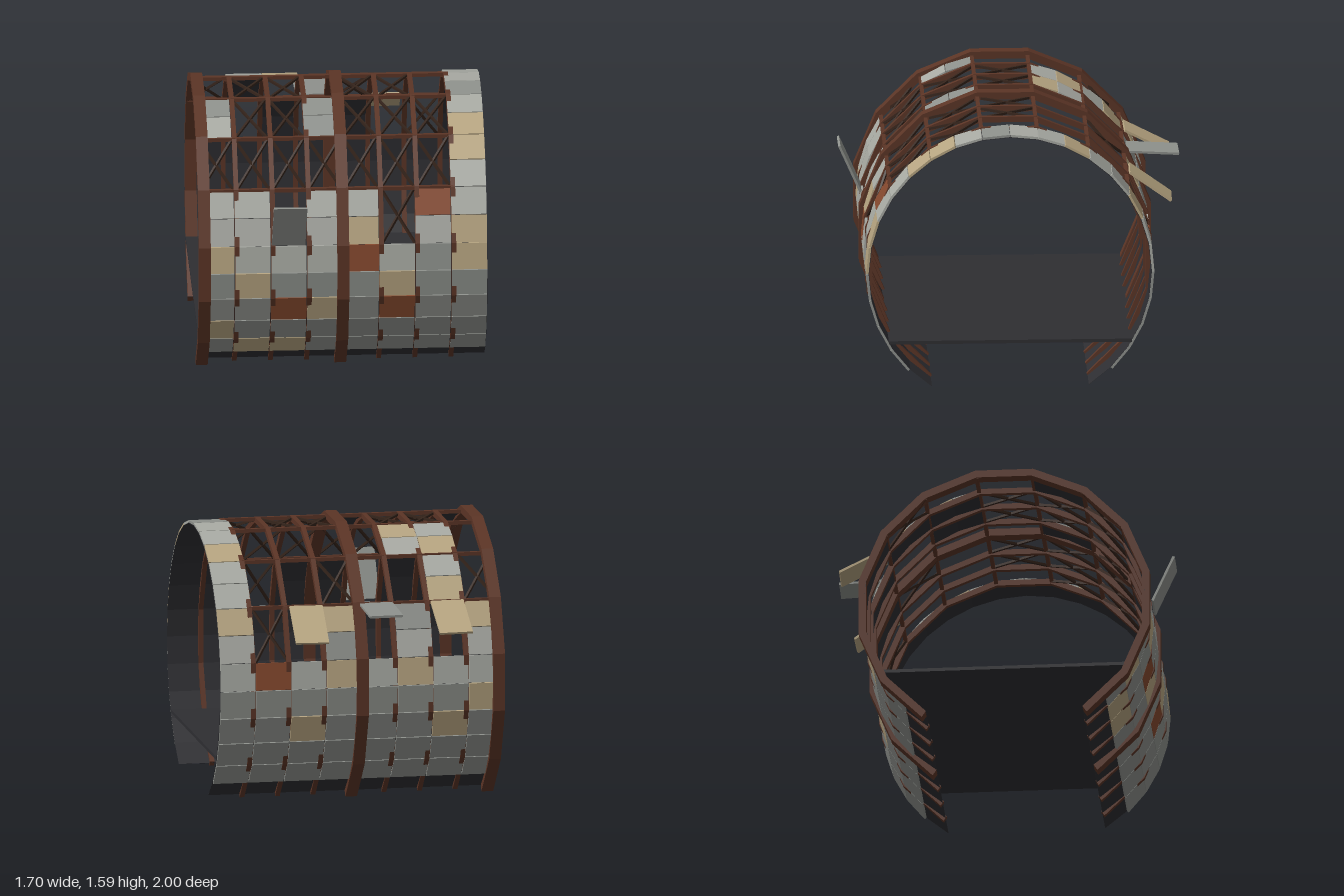
import * as THREE from 'three';

const CY = 0.728, CZ = 0.03;            // axis of the hull section
const STEP = Math.PI / 8, HALF = STEP / 2;
const BAY = 0.2125, X0 = -0.85;

const mat = (color) => new THREE.MeshStandardMaterial({ color });
const rib = mat(0x5c3526), brace = mat(0x35241b), dark = mat(0x2e2e32);
const light = mat(0xa9aba4), grey = mat(0x8f928d), tan = mat(0xb8a682), rust = mat(0x86492e);

// Point on the hull: angle 0 is the top, positive towards the front
const at = (x, r, a) => new THREE.Vector3(x, CY + r * Math.cos(a), CZ + r * Math.sin(a));

function box(name, w, h, d, material) {
  const m = new THREE.Mesh(new THREE.BoxGeometry(w, h, d), material);
  m.name = name;
  return m;
}

// Open 16-sided hoop, 13 sides long, extruded along x
function hoop(name, x, width, rOut, rIn) {
  const pts = [];
  for (let i = 0; i <= 13; i++) pts.push([rOut, (i - 6.5) * STEP]);
  for (let i = 13; i >= 0; i--) pts.push([rIn, (i - 6.5) * STEP]);
  const shape = new THREE.Shape(pts.map(([r, a]) => {
    const p = at(0, r, a);
    return new THREE.Vector2(-p.z, p.y);
  }));
  const geo = new THREE.ExtrudeGeometry(shape, { depth: width, bevelEnabled: false });
  geo.rotateY(Math.PI / 2);
  const m = new THREE.Mesh(geo, rib);
  m.name = name;
  m.position.x = x;
  return m;
}

// Square bar between two points
function bar(name, a, b, size, material) {
  const m = box(name, size, size, a.distanceTo(b), material);
  m.position.copy(a).add(b).multiplyScalar(0.5);
  m.lookAt(b);
  return m;
}

// Flat slab following half a hoop side; j counts half sides from the top
function slab(name, c, j, apothem, thick, gap, material) {
  const a = (j + 0.5) * HALF;
  const m = box(name, BAY - gap, thick, 2 * apothem * Math.tan(HALF / 2) - gap, material);
  m.position.copy(at(X0 + (c + 0.5) * BAY, apothem - thick / 2, a));
  m.rotation.x = a;
  return m;
}

// Torn panel standing off the hull, from (z0, y0) to (z1, y1)
function loosePanel(c, z0, y0, z1, y1, material, twist) {
  const m = box('loosePanel', BAY - 0.015, 0.014, Math.hypot(z1 - z0, y1 - y0), material);
  m.position.set(X0 + (c + 0.5) * BAY, (y0 + y1) / 2, (z0 + z1) / 2);
  m.rotation.x = -Math.atan2(y1 - y0, z1 - z0);
  m.rotateY(twist);
  return m;
}

// Plating layout, written as "column,row"
const roofPlates = new Set(['0,1', '0,2', '3,1', '3,2', '1,-2', '1,-3', '1,-4', '1,-5', '2,-2', '2,-3']);
const holes = new Set(['5,5', '5,6', '2,5', '2,6']);
for (const c of [1, 3, 5, 6]) holes.add(`${c},-6`).add(`${c},-7`);
const rustPlates = new Set(['6,5', '4,7', '2,9', '5,9', '6,-8']);
const tanPlates = new Set(['0,7', '4,6', '1,8', '5,8', '3,9', '0,10', '2,11', '1,11', '7,2', '7,3', '7,6', '7,7',
  '7,-3', '7,-6', '1,-3', '1,-5', '2,-2', '0,-6', '4,-6', '4,-8', '2,-8', '0,-9', '1,-10', '5,-10']);
const greyPlates = new Set(['6,7', '3,2', '3,1', '0,1', '2,-6', '4,-7', '7,0', '7,10', '7,-9']);

function hasPlate(c, j) {
  if (holes.has(`${c},${j}`)) return false;
  return c === 7 || j >= 5 || j <= -6 || roofPlates.has(`${c},${j}`);
}

function plateMaterial(c, j) {
  const k = `${c},${j}`;
  if (rustPlates.has(k)) return rust;
  if (tanPlates.has(k)) return tan;
  if (greyPlates.has(k) || (j < 0 ? -1 - j : j) >= 8) return grey;
  return light;
}

export function createModel() {
  const model = new THREE.Group();

  // Main frames and light ribs
  model.add(hoop('endFrame', -0.85, 0.07, 0.875, 0.83));
  model.add(hoop('middleFrame', -0.035, 0.07, 0.875, 0.83));
  for (const c of [1, 2, 3, 5, 6, 7]) model.add(hoop('lightRib', X0 + c * BAY, 0.028, 0.854, 0.82));

  // Lengthwise stringers over the roof
  for (let i = -3; i < 3; i++) {
    const a = (i + 0.5) * STEP;
    model.add(bar('stringer', at(-0.84, 0.84, a), at(0.655, 0.84, a), 0.022, rib));
  }

  // Diagonal cross bracing: hoop side -> columns
  const braced = [[2, [0, 1, 2, 3, 4, 5, 6]], [1, [1, 2, 4, 5, 6]], [0, [1, 2, 4, 5]],
    [-2, [0, 4]], [3, [5]], [-3, [6]]];
  for (const [s, columns] of braced) {
    for (const c of columns) {
      const xa = X0 + c * BAY + 0.015, xb = xa + BAY - 0.015;
      const a = (s - 0.5) * STEP, b = (s + 0.5) * STEP;
      model.add(bar('crossBrace', at(xa, 0.838, a), at(xb, 0.838, b), 0.014, brace));
      model.add(bar('crossBrace', at(xb, 0.838, a), at(xa, 0.838, b), 0.014, brace));
    }
  }

  // Hull plates with dark lining; the lowest row is lining only
  const plating = new THREE.Group();
  plating.name = 'hullPlating';
  for (let c = 0; c < 8; c++) {
    for (let j = -13; j <= 12; j++) {
      if (!hasPlate(c, j)) continue;
      plating.add(slab('lining', c, j, 0.829, 0.002, 0, dark));
      if (j > -13 && j < 12) plating.add(slab('hullPlate', c, j, 0.844, 0.014, 0.005, plateMaterial(c, j)));
    }
  }
  model.add(plating);

  // Torn panels
  model.add(loosePanel(2, 0.87, 0.905, 0.995, 1.19, grey, 0.02));
  model.add(loosePanel(3, -0.69, 1.2, -0.995, 1.182, grey, -0.02));
  model.add(loosePanel(1, -0.69, 1.2, -0.96, 1.06, tan, -0.02));
  model.add(loosePanel(5, -0.69, 1.2, -0.935, 1.025, tan, 0.02));

  // Deck
  const deck = box('deck', 1.7, 0.02, 1.43, dark);
  deck.position.set(0, 0.305, CZ);
  model.add(deck);

  return model;
}
